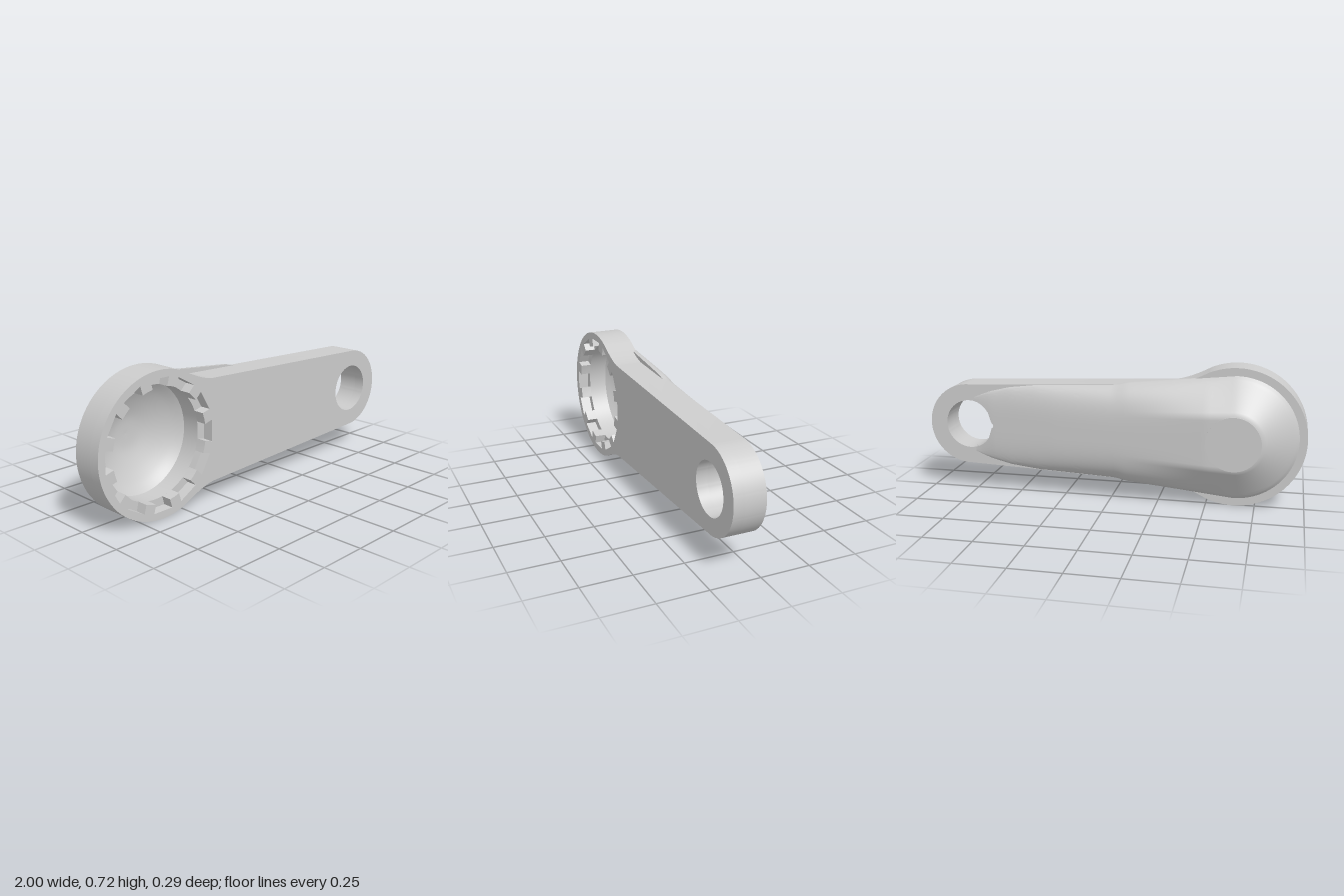
import * as THREE from 'three';
import { toCreasedNormals } from 'three/addons/utils/BufferGeometryUtils.js';

const CY = 0.36;            // height of the long axis
const HEAD = -0.64;         // x of the large head
const EYE = 0.78;           // x of the small eye
const EYE_R = 0.13;
const BACK = -0.013, FLOOR = 0.09, FRONT = 0.147;

const mat = new THREE.MeshStandardMaterial({ color: 0xcccccc });
const matDouble = new THREE.MeshStandardMaterial({ color: 0xcccccc, side: THREE.DoubleSide });

// Piecewise-linear lookup
function lerpTable(table, x) {
  if (x <= table[0][0]) return table[0][1];
  for (let i = 1; i < table.length; i++) {
    const [x0, y0] = table[i - 1], [x1, y1] = table[i];
    if (x <= x1) return y0 + (y1 - y0) * (x - x0) / (x1 - x0);
  }
  return table[table.length - 1][1];
}

// Outline of the plate: head circle, concave necks, tapered arm, round eye
function plateOutline() {
  const s = new THREE.Shape();
  const a = Math.atan2(0.332, 0.14);
  s.absarc(HEAD, CY, 0.36, a, Math.PI * 2 - a, false);
  s.quadraticCurveTo(-0.38, CY - 0.268, -0.31, CY - 0.262);
  s.lineTo(EYE, CY - 0.217);
  s.absarc(EYE + 0.003, CY, 0.217, -Math.PI / 2, Math.PI / 2, false);
  s.lineTo(-0.31, CY + 0.262);
  s.quadraticCurveTo(-0.38, CY + 0.268, HEAD + 0.14, CY + 0.332);
  const eye = new THREE.Path();
  eye.absarc(EYE, CY, EYE_R, 0, Math.PI * 2, true);
  s.holes.push(eye);
  return s;
}

// Plain round socket opening
function roundOpening() {
  const p = new THREE.Path();
  p.absarc(HEAD, CY, 0.28, 0, Math.PI * 2, true);
  return p;
}

// Socket opening with twelve slots around its rim
function slottedOpening() {
  const pts = [];
  const add = (r, a) => pts.push(new THREE.Vector2(HEAD + r * Math.cos(a), CY + r * Math.sin(a)));
  for (let i = 0; i < 12; i++) {
    const a = i * Math.PI / 6;
    add(0.28, a - 0.155);
    add(0.326, a - 0.17);
    add(0.326, a + 0.17);
    add(0.28, a + 0.155);
    add(0.28, a + Math.PI / 12);
  }
  return new THREE.Path(pts);
}

function plateLayer(name, opening, z0, z1) {
  const shape = plateOutline();
  shape.holes.push(opening);
  const geo = new THREE.ExtrudeGeometry(shape, { depth: z1 - z0, bevelEnabled: false, curveSegments: 40 });
  geo.translate(0, 0, z0);
  const mesh = new THREE.Mesh(toCreasedNormals(geo, 0.4), mat);
  mesh.name = name;
  return mesh;
}

// Rounded back shell: a half profile swept along one edge, around the head and back
function shellGeometry() {
  const width = [[-0.64, 0.32], [-0.4, 0.295], [-0.08, 0.263], [-0.02, 0.249],
    [0.4, 0.23], [0.55, 0.212], [0.66, 0.185], [0.75, 0.15]];
  const height = [[-0.5, 0.127], [0.3, 0.056], [0.65, 0.019], [0.75, 0.001]];
  const coneProfile = [[0, 1], [0.44, 1], [0.95, 0.13], [1, 0]];
  const END = 0.75, N = 70, TURN = 40, V = 24;

  const stations = [];
  for (let i = 0; i <= N; i++) stations.push([END + (HEAD - END) * i / N, Math.PI / 2]);
  for (let i = 1; i < TURN; i++) stations.push([HEAD, Math.PI / 2 + Math.PI * i / TURN]);
  for (let i = N; i >= 0; i--) stations.push([END + (HEAD - END) * i / N, Math.PI * 1.5]);

  const pos = [], index = [];
  const rows = V + 4;
  for (const [x, ang] of stations) {
    const w = lerpTable(width, x), h = lerpTable(height, x);
    const blend = THREE.MathUtils.smoothstep(x, HEAD, 0);
    const dx = x - EYE;
    const inner = Math.abs(dx) < EYE_R ? Math.sqrt(EYE_R * EYE_R - dx * dx) : 0;
    const put = (r, z) => pos.push(x + r * Math.cos(ang), CY + r * Math.sin(ang), z);
    const top = (r) => {
      const v = Math.min(1, r / w);
      const cone = lerpTable(coneProfile, v);
      const round = Math.pow(Math.max(0, 1 - Math.pow(v, 3.5)), 0.7);
      return BACK - h * (cone + (round - cone) * blend);
    };
    // wall of the eye cut, then the back surface, then the rim
    put(inner, inner > 0 ? BACK + 0.002 : top(0));
    for (let j = 0; j <= V; j++) {
      const r = inner + (w - inner) * Math.sin(j / V * Math.PI / 2);
      put(r, top(r));
    }
    put(w, 0.005);
    put(w - 0.03, 0.005);
  }
  for (let k = 0; k < stations.length - 1; k++) {
    for (let j = 0; j < rows - 1; j++) {
      const a = k * rows + j, b = a + rows;
      index.push(a, b, a + 1, b, b + 1, a + 1);
    }
  }
  const geo = new THREE.BufferGeometry();
  geo.setAttribute('position', new THREE.Float32BufferAttribute(pos, 3));
  geo.setIndex(index);
  return toCreasedNormals(geo, 0.6);
}

export function createModel() {
  const group = new THREE.Group();
  group.name = 'socketWrench';

  // Flat plate in two layers, the front one slotted
  group.add(plateLayer('plateBack', roundOpening(), BACK, FLOOR));
  group.add(plateLayer('plateFrontSlotted', slottedOpening(), FLOOR, FRONT));

  // Back shell
  const shell = new THREE.Mesh(shellGeometry(), matDouble);
  shell.name = 'backShell';
  group.add(shell);

  // Small flat disc on the back of the head
  const disc = new THREE.Mesh(new THREE.CylinderGeometry(0.139, 0.139, 0.012, 48), mat);
  disc.rotation.x = Math.PI / 2;
  disc.position.set(HEAD, CY, -0.141);
  disc.name = 'backDisc';
  group.add(disc);

  // Domed inside of the socket
  const curve = new THREE.SplineCurve([[0, -0.118], [0.08, -0.112], [0.16, -0.085], [0.23, -0.048], [0.281, -0.008]]
    .map(([r, z]) => new THREE.Vector2(r, z)));
  const dome = new THREE.Mesh(new THREE.LatheGeometry(curve.getPoints(20), 64), matDouble);
  dome.rotation.x = Math.PI / 2;
  dome.position.set(HEAD, CY, 0);
  dome.name = 'socketDome';
  group.add(dome);

  return group;
}
